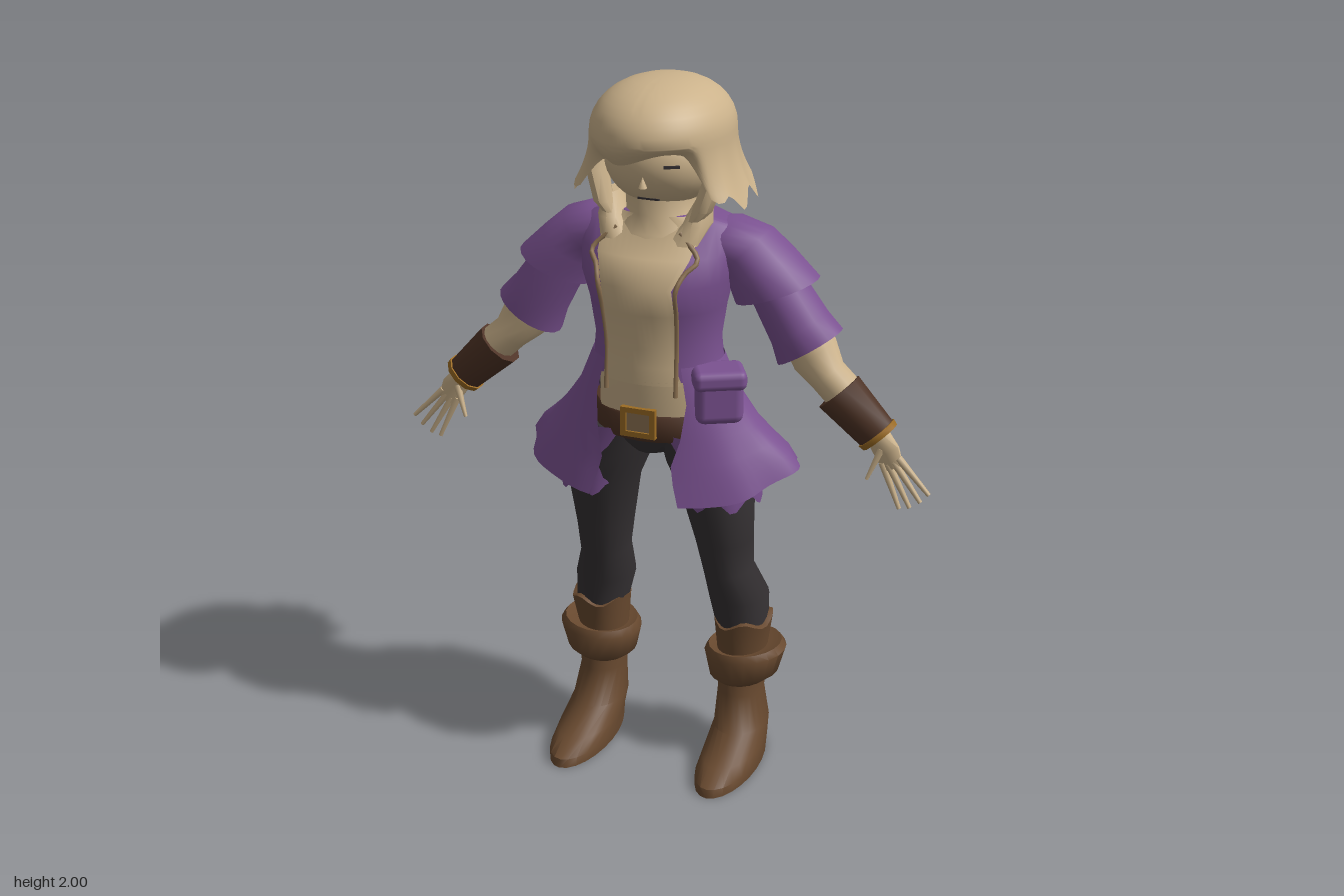
import * as THREE from 'three';
import { toCreasedNormals } from 'three/addons/utils/BufferGeometryUtils.js';
import { RoundedBoxGeometry } from 'three/addons/geometries/RoundedBoxGeometry.js';

const mat = (name, color, side = THREE.FrontSide) => {
  const m = new THREE.MeshStandardMaterial({ color, side });
  m.name = name;
  return m;
};

// Surface over a grid; u runs around from the front towards +x, v runs upward.
function grid(nu, nv, fn, crease = 0.9) {
  const pos = [], idx = [];
  for (let j = 0; j <= nv; j++) for (let i = 0; i <= nu; i++) pos.push(...fn(i / nu, j / nv));
  for (let j = 0; j < nv; j++) for (let i = 0; i < nu; i++) {
    const a = j * (nu + 1) + i, b = a + 1, c = a + nu + 1, d = c + 1;
    idx.push(a, b, c, b, d, c);
  }
  const g = new THREE.BufferGeometry();
  g.setAttribute('position', new THREE.Float32BufferAttribute(pos, 3));
  g.setIndex(idx);
  return toCreasedNormals(g, crease);
}

// Skin over elliptical rows [x, y, z, ra, rz, tilt], listed from bottom to top.
// With arc(row) the surface is an open strip, otherwise it is closed and capped.
function loft(rows, n = 20, arc = null, move = null) {
  const list = arc ? rows : [
    [...rows[0].slice(0, 3), 0, 0, rows[0][5]], ...rows,
    [...rows.at(-1).slice(0, 3), 0, 0, rows.at(-1)[5]]];
  const nv = list.length - 1;
  return grid(n, nv, (u, v) => {
    const r = list[Math.round(v * nv)], [x, y, z, ra, rz, tilt = 0] = r;
    const [a0, a1] = arc ? arc(r) : [0, Math.PI * 2];
    const t = a0 + (a1 - a0) * u, s = ra * Math.sin(t);
    const p = [x + s * Math.cos(tilt), y + s * Math.sin(tilt), z + rz * Math.cos(t)];
    return move ? move(p, t) : p;
  });
}

// Mirror across x, keeping the faces outward.
function mirror(geo) {
  const g = (geo.index ? geo.toNonIndexed() : geo.clone()).scale(-1, 1, 1);
  for (const key of ['position', 'normal']) {
    const a = g.attributes[key].array;
    for (let i = 0; i < a.length; i += 9) for (let k = 3; k < 6; k++) {
      const t = a[i + k]; a[i + k] = a[i + k + 3]; a[i + k + 3] = t;
    }
  }
  return g;
}

// Tapered stick between two points.
function stick(a, b, r0, r1) {
  const p = new THREE.Vector3(...a), d = new THREE.Vector3(...b).sub(p);
  const g = new THREE.CylinderGeometry(r1, r0, d.length(), 6);
  g.translate(0, d.length() / 2, 0);
  g.applyQuaternion(new THREE.Quaternion().setFromUnitVectors(new THREE.Vector3(0, 1, 0), d.clone().normalize()));
  return g.translate(p.x, p.y, p.z);
}

export function createModel() {
  const root = new THREE.Group();
  root.name = 'figure';
  const cream = mat('cream', 0xcbb28b, THREE.DoubleSide);
  const purple = mat('purple', 0x7b5291, THREE.DoubleSide);
  const black = mat('charcoal', 0x353133);
  const leather = mat('boot leather', 0x68492f);
  const dark = mat('dark leather', 0x4d3224);
  const gold = mat('gold', 0x9c6c24);
  const tan = mat('tan trim', 0x8d7252);
  const add = (name, geo, m) => {
    const mesh = new THREE.Mesh(geo, m);
    mesh.name = name;
    root.add(mesh);
  };
  const pair = (name, geo, m) => {
    add(name + 'Left', geo, m);
    add(name + 'Right', mirror(geo), m);
  };

  // Head and face
  add('head', new THREE.SphereGeometry(1, 28, 20).scale(0.16, 0.13, 0.15).translate(0, 1.785, 0.03), cream);
  pair('eye', new THREE.BoxGeometry(0.042, 0.007, 0.008).rotateY(0.42).translate(0.075, 1.795, 0.163), black);
  add('mouth', new THREE.BoxGeometry(0.06, 0.005, 0.008).translate(0, 1.695, 0.137), black);
  add('nose', new THREE.ConeGeometry(0.012, 0.03, 6).translate(0, 1.75, 0.178), cream);
  add('neck', loft([[0, 1.55, 0.04, 0.16, 0.14], [0, 1.6, 0.03, 0.14, 0.125],
    [0, 1.645, 0.01, 0.105, 0.125], [0, 1.72, 0.01, 0.11, 0.12]]), cream);

  // Hair: domed cap, swept fringe, flared ragged hem
  const wrap = (t) => Math.abs(t > Math.PI ? t - Math.PI * 2 : t);
  add('hair', grid(96, 18, (u, v) => {
    const t = u * Math.PI * 2, d = wrap(t), k = 1 - v;
    const side = THREE.MathUtils.smoothstep(d, 0.75, 1.25);
    const saw = Math.abs(((u * 15) % 1) - 0.5) * 2;
    let r, y;
    if (k < 0.5) {
      const a = k * Math.PI;
      r = Math.pow(Math.sin(a), 0.85);
      y = 1.865 + 0.135 * Math.cos(a);
    } else {
      const q = (k - 0.5) * 2;
      const hem = THREE.MathUtils.lerp(1.815 + 0.02 * Math.sin(t * 3), 1.665 + 0.06 * saw, side);
      const flare = THREE.MathUtils.lerp(-0.2, 0.3 - 0.1 * saw, side);
      r = 1 + flare * q * q;
      y = THREE.MathUtils.lerp(1.865, hem, q);
    }
    const back = Math.cos(t) < 0;
    return [0.19 * r * Math.sin(t), y, 0.03 + (back ? 0.235 : 0.232) * r * Math.cos(t)];
  }), cream);
  pair('sideLock', loft([[0.1, 1.61, 0.12, 0.006, 0.006], [0.14, 1.67, 0.11, 0.028, 0.03],
    [0.165, 1.75, 0.09, 0.03, 0.04], [0.165, 1.83, 0.08, 0.02, 0.04]], 8), cream);
  pair('collarWing', loft([[0.09, 1.58, 0.13, 0.05, 0.03], [0.12, 1.63, 0.09, 0.04, 0.05],
    [0.13, 1.69, 0.06, 0.02, 0.05]], 10), cream);

  // Coat body and the tunic showing down its front
  const torso = [[0, 1.2, 0.065, 0.185, 0.147], [0, 1.25, 0.065, 0.18, 0.147], [0, 1.3, 0.065, 0.175, 0.145],
    [0, 1.4, 0.065, 0.19, 0.16], [0, 1.48, 0.07, 0.21, 0.175], [0, 1.55, 0.05, 0.22, 0.15],
    [0, 1.62, 0.02, 0.22, 0.1], [0, 1.645, 0.02, 0.13, 0.1]];
  add('coatBody', loft(torso, 36), purple);
  const widths = [0.115, 0.1, 0.1, 0.1, 0.1, 0.13, 0.14, 0.1];
  const frontArc = (r) => {
    const w = Math.asin(r[6] / r[3]);
    return [-w, w];
  };
  const grow = (r, w) => [r[0], r[1], r[2], r[3] + 0.006, r[4] + 0.006, 0, w];
  add('tunicFront', loft(torso.map((r, i) => grow(r, widths[i])), 14, frontArc), cream);
  add('tunicTail', loft([[0, 1.07, 0.06, 0.18, 0.147, 0, 0.11], [0, 1.12, 0.06, 0.19, 0.151, 0, 0.13],
    [0, 1.21, 0.065, 0.19, 0.153, 0, 0.125]], 14, frontArc), cream);
  const trim = new THREE.CatmullRomCurve3([[0.09, 1.61, 0.137], [0.15, 1.55, 0.168], [0.125, 1.52, 0.2],
    [0.11, 1.48, 0.226], [0.105, 1.4, 0.205], [0.1, 1.3, 0.19], [0.1, 1.17, 0.198]].map((p) => new THREE.Vector3(...p)));
  pair('coatTrim', new THREE.TubeGeometry(trim, 30, 0.007, 6), tan);

  // Coat skirt: open at the front, notched at the back, long at the corners
  const skirt = [[0, 0.87, 0.02, 0.39, 0.245, 0, 0.13], [0, 0.93, 0.025, 0.365, 0.225, 0, 0.11],
    [0, 0.98, 0.035, 0.33, 0.205, 0, 0.1], [0, 1.05, 0.05, 0.285, 0.18, 0, 0.12],
    [0, 1.15, 0.06, 0.225, 0.165, 0, 0.13], [0, 1.25, 0.065, 0.183, 0.15, 0, 0.11]];
  add('coatSkirt', loft(skirt, 64, (r) => {
    const w = Math.asin(r[6] / r[3]);
    return [w, Math.PI * 2 - w];
  }, ([x, y, z], t) => {
    const low = THREE.MathUtils.clamp((1.1 - y) / 0.23, 0, 1), d = Math.PI - wrap(t);
    const lift = 0.075 * Math.pow(Math.sin(t), 4) + 0.13 * Math.exp(-d * d / 0.07);
    const fold = 1 + 0.03 * low * Math.sin(t * 9 + 1);
    return [x * (x > 0 ? fold : 2 - fold), y + lift * low, z];
  }), purple);
  add('pouch', new RoundedBoxGeometry(0.13, 0.13, 0.1, 2, 0.025).rotateY(0.5).translate(0.2, 1.165, 0.14), purple);
  add('pouchFlap', new RoundedBoxGeometry(0.145, 0.055, 0.115, 2, 0.02).rotateY(0.5).translate(0.2, 1.225, 0.14), purple);

  // Belt and square buckle
  add('hips', loft([[0, 0.98, 0.055, 0.07, 0.11], [0, 1.03, 0.055, 0.16, 0.135], [0, 1.15, 0.06, 0.17, 0.14]]), black);
  add('belt', loft([[0, 1.03, 0.058, 0.18, 0.145], [0, 1.045, 0.058, 0.183, 0.153], [0, 1.105, 0.06, 0.186, 0.156],
    [0, 1.115, 0.06, 0.18, 0.146]], 28), dark);
  const frame = new THREE.Shape([[-0.05, -0.042], [0.05, -0.042], [0.05, 0.042], [-0.05, 0.042]].map((p) => new THREE.Vector2(...p)));
  frame.holes.push(new THREE.Path([[-0.034, -0.027], [-0.034, 0.027], [0.034, 0.027], [0.034, -0.027]].map((p) => new THREE.Vector2(...p))));
  add('buckle', new THREE.ExtrudeGeometry(frame, { depth: 0.016, bevelEnabled: false }).translate(0, 1.09, 0.208), gold);
  add('bucklePlate', new THREE.BoxGeometry(0.07, 0.056, 0.008).translate(0, 1.09, 0.214), tan);

  // Legs, short trousers and boots
  pair('leg', loft([[0.22, 0.38, -0.035, 0.07, 0.085], [0.205, 0.5, -0.035, 0.085, 0.097], [0.187, 0.6, 0.005, 0.068, 0.095],
    [0.18, 0.7, 0.022, 0.08, 0.099], [0.17, 0.85, 0.05, 0.1, 0.12], [0.135, 0.95, 0.055, 0.108, 0.13],
    [0.095, 1.04, 0.055, 0.09, 0.13]]), black);
  pair('shorts', loft([[0.18, 0.85, 0.05, 0.113, 0.13], [0.175, 0.93, 0.05, 0.12, 0.138], [0.12, 1.05, 0.055, 0.12, 0.14]],
    28, () => [-0.7, Math.PI + 0.7], ([x, y, z], t) => [x, y < 0.9 ? y + 0.02 * Math.sin(t * 7) : y, z]), purple);
  pair('boot', loft([[0.225, 0, 0.075, 0.08, 0.205], [0.225, 0.025, 0.072, 0.082, 0.203], [0.225, 0.055, 0.04, 0.08, 0.168],
    [0.222, 0.1, -0.022, 0.076, 0.108], [0.215, 0.2, -0.035, 0.066, 0.076], [0.215, 0.32, -0.04, 0.07, 0.08],
    [0.22, 0.43, -0.035, 0.083, 0.1], [0.22, 0.435, -0.035, 0.07, 0.085]], 24, null,
    ([x, y, z], t) => [x, y > 0.42 ? y + 0.012 * Math.sin(t * 4) : y, z]), leather);
  pair('bootCuff', loft([[0.22, 0.235, -0.04, 0.075, 0.085], [0.222, 0.255, -0.04, 0.1, 0.108], [0.225, 0.325, -0.04, 0.118, 0.12],
    [0.224, 0.345, -0.04, 0.105, 0.11], [0.22, 0.335, -0.04, 0.075, 0.085]], 20, null,
    ([x, y, z]) => [x, y + (x - 0.22) * 0.08, z]), leather);

  // Two-tier sleeves
  pair('upperSleeve', loft([[0.315, 1.44, 0, 0.12, 0.115, 0.35], [0.27, 1.5, 0, 0.1, 0.11, 0.5], [0.23, 1.54, 0, 0.09, 0.103, 0.8],
    [0.17, 1.56, 0.01, 0.085, 0.095, 1.1], [0.1, 1.55, 0.01, 0.08, 0.09, 1.3]]), purple);
  pair('lowerSleeve', loft([[0.41, 1.29, 0, 0.102, 0.09, 0.57], [0.38, 1.34, 0, 0.088, 0.09, 0.6],
    [0.33, 1.42, 0, 0.08, 0.085, 0.6], [0.29, 1.48, 0, 0.07, 0.08, 0.6]]), purple);

  // Forearms, bracers and hands
  const a = 0.75;
  pair('forearm', loft([[0.6, 1.085, 0.02, 0.045, 0.045, a], [0.52, 1.17, 0.015, 0.055, 0.055, a], [0.465, 1.22, 0.01, 0.054, 0.055, a],
    [0.425, 1.27, 0, 0.072, 0.066, a], [0.37, 1.35, 0, 0.06, 0.06, a]], 14), cream);
  pair('bracer', loft([[0.615, 1.07, 0.02, 0.055, 0.051, a], [0.5, 1.18, 0.02, 0.069, 0.062, a]], 10), dark);
  pair('bracerTrim', loft([[0.62, 1.065, 0.02, 0.058, 0.053, a], [0.608, 1.077, 0.02, 0.061, 0.057, a]], 10), gold);
  pair('palm', loft([[0.665, 0.99, 0.037, 0.03, 0.01, 0.5], [0.645, 1.03, 0.033, 0.038, 0.015, 0.6],
    [0.61, 1.075, 0.022, 0.034, 0.028, a]], 10), cream);
  const fingers = [[0.687, 1.005, 0.768, 0.93], [0.675, 0.993, 0.745, 0.905], [0.66, 0.985, 0.716, 0.885], [0.643, 0.985, 0.687, 0.878]];
  fingers.forEach(([x0, y0, x1, y1], i) =>
    pair('finger' + (i + 1), stick([x0 - 0.01, y0 + 0.015, 0.037], [x1, y1, 0.047], 0.011, 0.006), cream));
  pair('thumb', stick([0.63, 1.04, 0.04], [0.597, 0.955, 0.06], 0.011, 0.005), cream);
  return root;
}
